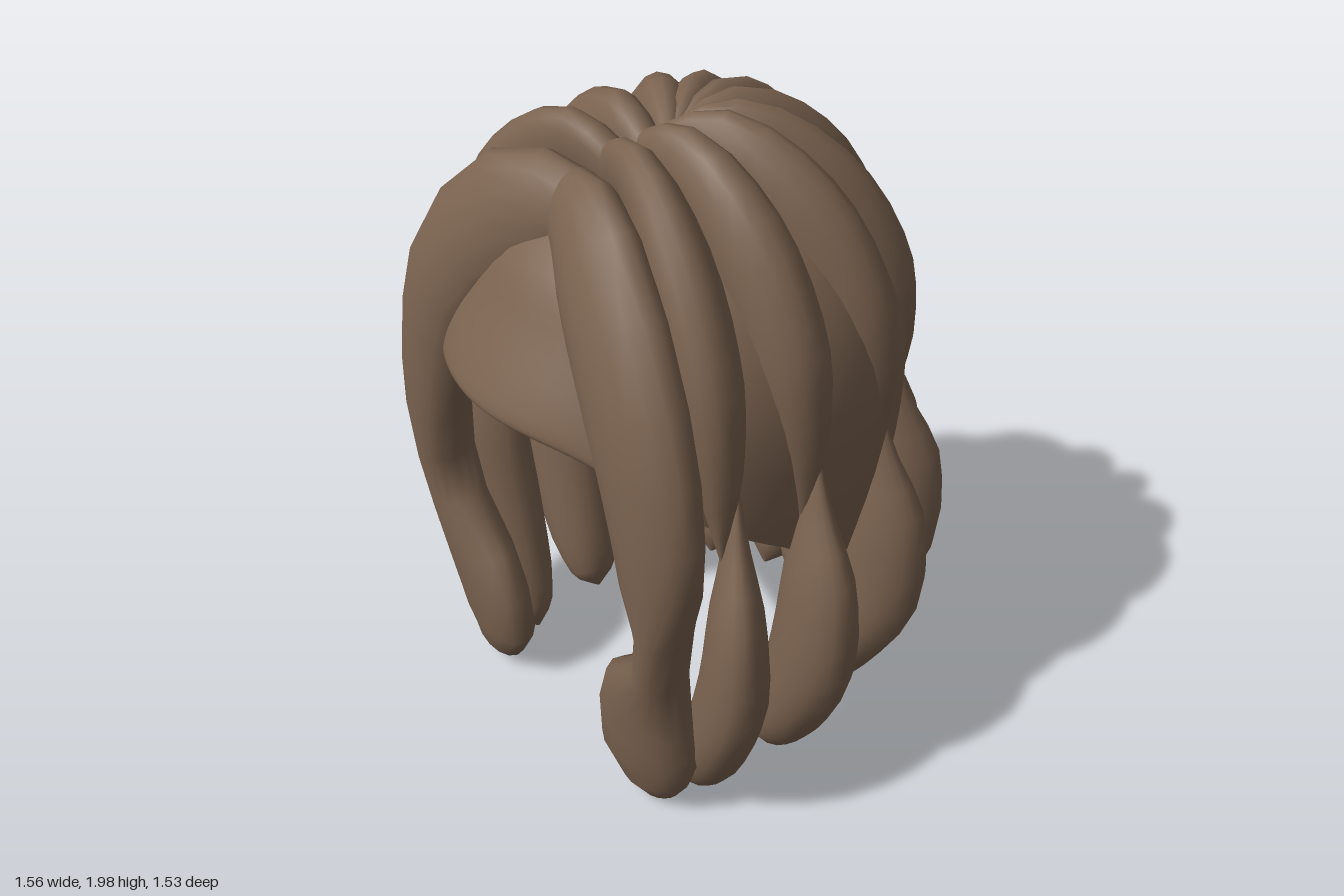
import * as THREE from 'three';

const hair = new THREE.MeshStandardMaterial({ color: 0x7b6350, side: THREE.DoubleSide });
hair.name = 'brown hair';
const V = (x, y, z) => new THREE.Vector3(x, y, z);

// Smooth grid surface: rows run along the hair, columns across it
function surface(name, rows, cols, fn, wrap) {
  const pos = [], idx = [], n = wrap ? cols : cols + 1;
  for (let i = 0; i <= rows; i++)
    for (let j = 0; j < n; j++) pos.push(...fn(i / rows, j / cols).toArray());
  for (let i = 0; i < rows; i++)
    for (let j = 0; j < cols; j++) {
      const k = (j + 1) % n;
      const a = i * n + j, b = a + n, c = i * n + k, d = c + n;
      idx.push(a, b, c, c, b, d);
    }
  const g = new THREE.BufferGeometry();
  g.setAttribute('position', new THREE.Float32BufferAttribute(pos, 3));
  g.setIndex(idx);
  g.computeVertexNormals();
  const m = new THREE.Mesh(g, hair);
  m.name = name;
  return m;
}

// Tapered lock: path points, [half width, half depth] at each, outward direction
function lock(name, pts, sizes, outward) {
  const path = new THREE.CatmullRomCurve3(pts);
  const size = new THREE.CatmullRomCurve3(sizes.map(([w, d]) => V(w, d, 0)));
  return surface(name, 16, 16, (t, u) => {
    const p = path.getPoint(t), T = path.getTangent(t), s = size.getPoint(t);
    const N = outward(p);
    N.addScaledVector(T, -N.dot(T)).normalize();
    const S = N.clone().cross(T);
    const a = u * Math.PI * 2;
    return p.addScaledVector(N, Math.cos(a) * Math.max(s.y, 0.003))
      .addScaledVector(S, Math.sin(a) * Math.max(s.x, 0.003));
  }, true);
}

// Height of the cap's lower edge by angle from the front, in degrees
function capEdge(deg) {
  const keys = [[0, 1.36], [33, 1.34], [45, 1.05], [78, 0.85], [97, 0.63], [115, 0.75], [180, 0.8]];
  for (let i = 1; i < keys.length; i++) {
    const [a, y] = keys[i - 1], [b, z] = keys[i];
    if (deg <= b) return THREE.MathUtils.lerp(y, z, (deg - a) / (b - a));
  }
  return 0.8;
}

export function createModel() {
  const model = new THREE.Group();
  model.name = 'hair';

  // Base cap: a dome with an open face, squarer towards the front
  model.add(surface('cap', 20, 72, (t, u) => {
    const a = (u - 0.5) * Math.PI * 2;
    const edge = capEdge(Math.abs(a) * 180 / Math.PI);
    const phiMax = Math.acos(Math.max(0, (edge - 1.2) / 0.66));
    let r, y;
    if (t <= 0.7) {
      const phi = (t / 0.7) * phiMax;
      r = 0.6 * Math.sin(phi);
      y = 1.2 + 0.66 * Math.cos(phi);
    } else {
      const top = Math.max(1.2, edge);
      y = THREE.MathUtils.lerp(top, edge, (t - 0.7) / 0.3);
      r = 0.6 * Math.sin(phiMax) - 0.09 * ((top - y) / 0.6) ** 2;
    }
    const sin = Math.sin(a), cos = Math.cos(a);
    const across = cos > 0 ? Math.sign(sin) * Math.abs(sin) ** 0.6 : sin;
    return V(r * across, y, r * cos);
  }, false));

  // Short fringe flaring over the forehead with a rolled lower edge
  const profile = new THREE.CatmullRomCurve3([
    V(0, 1.8, 0.42), V(0, 1.67, 0.57), V(0, 1.53, 0.65), V(0, 1.35, 0.745),
    V(0, 1.3, 0.755), V(0, 1.28, 0.72), V(0, 1.3, 0.66), V(0, 1.45, 0.54)]);
  model.add(surface('fringe', 28, 20, (t, u) => {
    const k = u * 2 - 1, p = profile.getPoint(t);
    p.x = 0.38 * k;
    p.z -= 0.12 * k * k;
    p.y -= 0.05 * k ** 4;
    return p;
  }, false));

  // Upper locks: [end x, end z, start z, tip y, half width, start half width]
  const upper = [
    [0.6, 0.39, 0.27, 0.95, 0.095, 0.06], [0.6, 0.09, 0.17, 0.9, 0.11, 0.05],
    [0.54, -0.23, 0.1, 0.98, 0.11, 0.035], [0.38, -0.455, 0.08, 1.03, 0.1, 0.03],
    [0.13, -0.57, 0.06, 1.06, 0.095, 0.03]];
  // Lower locks: [middle x, middle z, bottom x, bottom z, bottom y, half width]
  const lower = [
    [0.625, 0.37, 0.42, 0.36, 0.0, 0.1], [0.635, 0.08, 0.45, 0.09, 0.015, 0.11],
    [0.54, -0.25, 0.38, -0.12, 0.06, 0.115], [0.37, -0.48, 0.28, -0.27, 0.09, 0.105],
    [0.165, -0.6, 0.11, -0.37, 0.1, 0.095], [0, -0.62, 0, -0.39, 0.11, 0.09]];

  for (const s of [1, -1]) {
    const side = s > 0 ? 'left' : 'right';

    // Long front lock sweeping from the parting to a rounded curl
    model.add(lock(side + 'FrontLock', [
      V(-0.09 * s, 1.74, 0.4), V(0.04 * s, 1.765, 0.425), V(0.23 * s, 1.7, 0.5),
      V(0.43 * s, 1.46, 0.56), V(0.525 * s, 1.2, 0.575), V(0.555 * s, 0.95, 0.575),
      V(0.54 * s, 0.67, 0.56), V(0.43 * s, 0.4, 0.535), V(0.4 * s, 0.22, 0.515),
      V(0.43 * s, 0.06, 0.5), V(0.44 * s, 0.015, 0.5)],
    [[0.11, 0.07], [0.155, 0.09], [0.18, 0.1], [0.175, 0.1], [0.16, 0.095], [0.125, 0.095],
      [0.055, 0.09], [0.175, 0.09], [0.185, 0.09], [0.1, 0.06], [0.005, 0.005]],
    (p) => V(p.x * 0.3, 0.1, 1)));

    // Upper locks fanning out from the crown, set deep into the cap
    for (const [x, z, z0, tip, w, w0] of upper) {
      const at = (f, y) => V(x * f * s, y, z0 + (z - z0) * f);
      model.add(lock(side + 'UpperLock',
        [at(-0.04, 1.83), at(0.24, 1.86), at(0.58, 1.71), at(0.81, 1.48), at(0.91, 1.25), at(0.96, tip)],
        [[w0, 0.09], [w * 0.75, 0.14], [w, 0.15], [w, 0.135], [w * 0.75, 0.09], [0.005, 0.01]],
        (p) => V(p.x, p.y - 1.1, p.z - 0.05)));
    }

    // Lower locks emerging from inside the cap and curling inward
    for (const [x, z, bx, bz, by, w] of lower) {
      if (x === 0 && s < 0) continue;
      const at = (f, y) => V((x + (bx - x) * f) * s, y, z + (bz - z) * f);
      model.add(lock(x === 0 ? 'backLowerLock' : side + 'LowerLock',
        [V(x * 0.93 * s, 1.2, z * 0.93), V(x * 0.95 * s, 1.0, z * 0.95), at(0, 0.77), at(0.06, 0.5),
          at(0.5, by + 0.22), at(0.85, by + 0.07), at(1, by + 0.02)],
        [[0.004, 0.006], [w * 0.35, 0.06], [w * 0.8, 0.135], [w, 0.15],
          [w, 0.12], [w * 0.7, 0.07], [0.004, 0.004]],
        (p) => V(p.x, 0, p.z)));
    }
  }
  return model;
}
